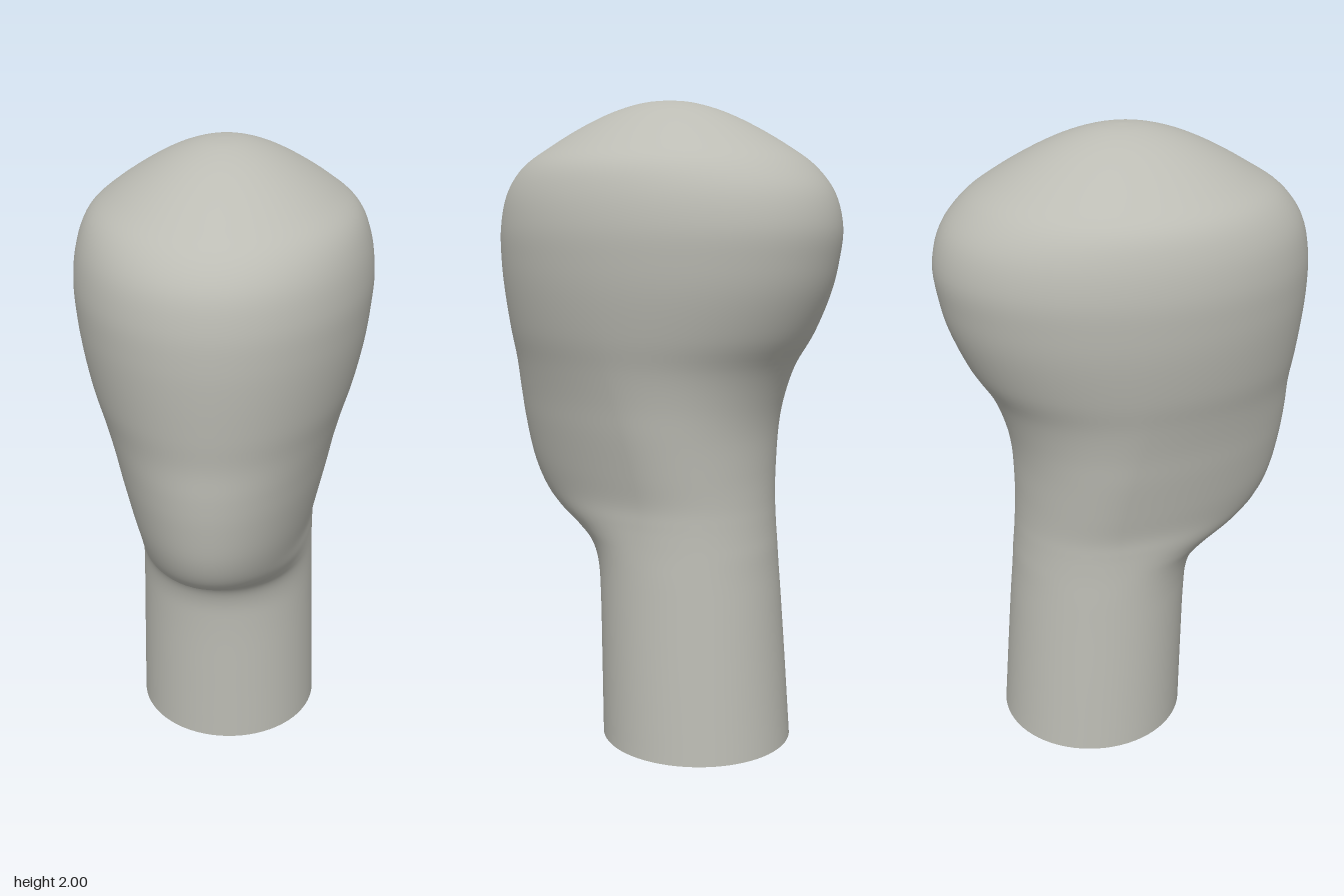
import * as THREE from 'three';

// Cross-sections from neck to crown: y, half width, front z, back z, z of widest point
const SECTIONS = [
  [0, 0.30, 0.19, -0.415, -0.112],
  [0.25, 0.293, 0.195, -0.396, -0.1],
  [0.45, 0.287, 0.2, -0.38, -0.09],
  [0.56, 0.284, 0.21, -0.37, -0.085],
  [0.63, 0.282, 0.242, -0.365, -0.08],
  [0.68, 0.281, 0.31, -0.36, -0.08],
  [0.73, 0.281, 0.395, -0.356, -0.08],
  [0.79, 0.284, 0.455, -0.352, -0.08],
  [0.88, 0.302, 0.495, -0.35, -0.07],
  [1.0, 0.327, 0.518, -0.355, -0.05],
  [1.1, 0.346, 0.528, -0.375, -0.03],
  [1.2, 0.37, 0.532, -0.413, -0.01],
  [1.3, 0.398, 0.545, -0.475, 0],
  [1.42, 0.423, 0.558, -0.527, 0],
  [1.52, 0.436, 0.564, -0.552, 0],
  [1.62, 0.441, 0.56, -0.562, 0],
  [1.72, 0.427, 0.535, -0.535, 0],
  [1.8, 0.393, 0.475, -0.47, 0],
  [1.86, 0.325, 0.385, -0.385, 0],
  [1.92, 0.235, 0.28, -0.28, 0],
  [1.965, 0.15, 0.18, -0.18, 0],
  [1.992, 0.07, 0.085, -0.085, 0],
  [2.0, 0, 0, 0, 0],
];
const SIDES = 72;
const RINGS = 110;

// Closed egg-shaped rings lofted through the smoothed sections
function loftGeometry() {
  const outline = new THREE.CatmullRomCurve3(
    SECTIONS.map(([y, w, front]) => new THREE.Vector3(w, y, front)), false, 'catmullrom', 0.5);
  const rear = new THREE.CatmullRomCurve3(
    SECTIONS.map(([, , , back, mid]) => new THREE.Vector3(back, mid, 0)), false, 'catmullrom', 0.5);
  const positions = [];
  const indices = [];
  for (let i = 0; i <= RINGS; i++) {
    const { x: width, y, z: front } = outline.getPoint(i / RINGS);
    const { x: back, y: mid } = rear.getPoint(i / RINGS);
    for (let j = 0; j < SIDES; j++) {
      const a = (j / SIDES) * Math.PI * 2;
      const s = Math.sin(a);
      positions.push(width * Math.cos(a), y, mid + s * (s > 0 ? front - mid : mid - back));
      if (i < RINGS) {
        const p = i * SIDES + j;
        const q = i * SIDES + ((j + 1) % SIDES);
        indices.push(p, p + SIDES, q, q, p + SIDES, q + SIDES);
      }
    }
  }
  const geometry = new THREE.BufferGeometry();
  geometry.setAttribute('position', new THREE.Float32BufferAttribute(positions, 3));
  geometry.setIndex(indices);
  geometry.computeVertexNormals();
  // The crown meets in one point facing straight up
  for (let j = 0; j < SIDES; j++) geometry.attributes.normal.setXYZ(RINGS * SIDES + j, 0, 1, 0);
  return geometry;
}

export function createModel() {
  const model = new THREE.Group();
  model.name = 'mannequinHead';
  const clay = new THREE.MeshStandardMaterial({ color: 0xbcbcb4 });
  clay.name = 'warm grey clay';

  const head = new THREE.Mesh(loftGeometry(), clay);
  head.name = 'headAndNeck';
  model.add(head);

  // Flat underside of the neck
  const [, width, front, back] = SECTIONS[0];
  const base = new THREE.Mesh(new THREE.CircleGeometry(1, SIDES), clay);
  base.geometry.scale(width, (front - back) / 2, 1).rotateX(Math.PI / 2);
  base.position.z = (front + back) / 2;
  base.name = 'neckBase';
  model.add(base);
  return model;
}
